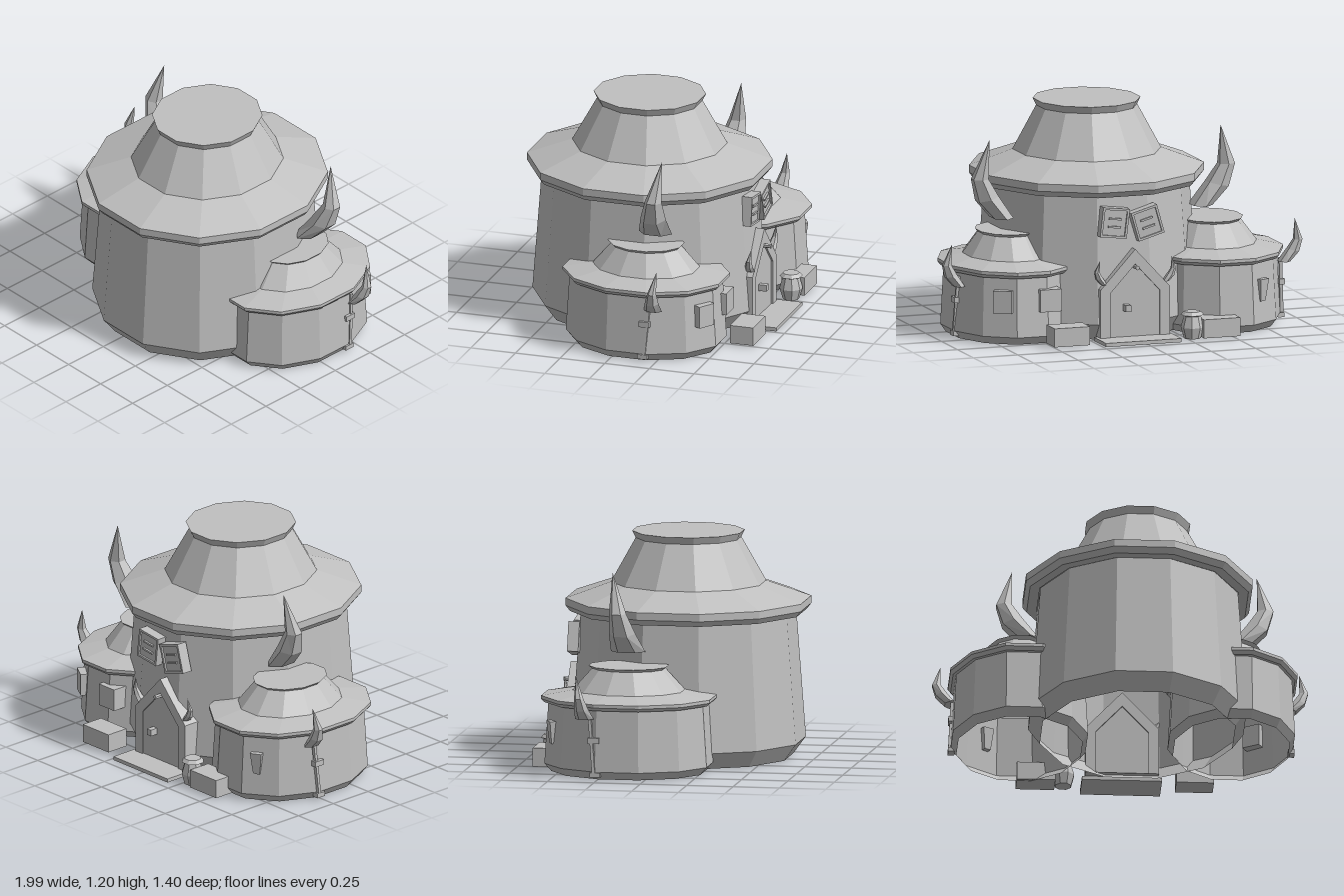
import * as THREE from 'three';

const clay = new THREE.MeshStandardMaterial({ color: 0xc0c0c0, flatShading: true, side: THREE.DoubleSide });
clay.name = 'plainGrey';

export function createModel() {
  const root = new THREE.Group();

  const add = (name, geometry, x = 0, y = 0, z = 0, parent = root) => {
    const g = geometry.index ? geometry.toNonIndexed() : geometry;
    g.computeVertexNormals();
    const mesh = new THREE.Mesh(g, clay);
    mesh.name = name;
    mesh.position.set(x, y, z);
    parent.add(mesh);
    return mesh;
  };
  const box = (name, w, h, d, x, y, z, parent) => add(name, new THREE.BoxGeometry(w, h, d), x, y, z, parent);

  // Twelve-sided hollow shell; the profile lists [apothem, height] from the ground up
  const tower = (name, profile, x, y, z, scaleX) => {
    const k = 1 / Math.cos(Math.PI / 12);
    const pts = profile.map(([r, h]) => new THREE.Vector2(r * k, h));
    const g = new THREE.LatheGeometry(pts, 12, Math.PI / 12);
    g.scale(scaleX, 1, 1);
    return add(name, g, x, y, z);
  };

  // Main tower, open underneath
  tower('mainWall', [[0.54, 0], [0.605, 0.09], [0.555, 0.775]], 0.07, 0, 0.065, 0.945);
  tower('mainRoof', [[0.555, 0.775], [0.61, 0.775], [0.633, 0.805], [0.633, 0.845], [0.4, 0.93],
    [0.272, 1.165], [0.29, 1.203], [0, 1.203]], 0.07, 0, 0.065, 0.95);

  // Side huts, open underneath
  const hutWall = [[0.385, 0], [0.42, 0.042], [0.4, 0.36]];
  const hutRoof = [[0.4, 0.36], [0.42, 0.36], [0.437, 0.378], [0.437, 0.395], [0.28, 0.425],
    [0.183, 0.54], [0.2, 0.555], [0, 0.555]];
  const grow = (p) => p.map(([r, h]) => [r * 1.04, h > 0.3 ? h + 0.01 : h]);
  tower('leftHutWall', hutWall, 0.577, 0, -0.088, 0.79);
  tower('leftHutRoof', hutRoof, 0.577, 0, -0.088, 0.79);
  tower('rightHutWall', grow(hutWall), -0.545, 0, -0.145, 0.82);
  tower('rightHutRoof', grow(hutRoof), -0.545, 0, -0.145, 0.82);

  // Horn: rings as [outerX, outerY, innerX, innerY, centreZ, halfWidthZ]
  const rings = [
    [0.56, 0.63, 0.56, 0.63, -0.158, 0],
    [0.62, 0.63, 0.5, 0.63, -0.158, 0.093],
    [0.71, 0.725, 0.585, 0.755, -0.175, 0.071],
    [0.742, 0.85, 0.645, 0.85, -0.191, 0.047],
    [0.65, 1.065, 0.65, 1.065, -0.225, 0],
  ];
  const hornGeometry = () => {
    const n = 6, pos = [], idx = [];
    for (const [ox, oy, ix, iy, z, w] of rings) {
      for (let i = 0; i < n; i++) {
        const t = (i / n + 0.25) * Math.PI * 2, c = Math.cos(t) / 2;
        pos.push((ox + ix) / 2 + (ox - ix) * c, (oy + iy) / 2 + (oy - iy) * c, z + w * Math.sin(t));
      }
    }
    for (let k = 0; k < rings.length - 1; k++) {
      for (let i = 0; i < n; i++) {
        const a = k * n + i, b = k * n + ((i + 1) % n);
        idx.push(b, a, a + n, b, a + n, b + n);
      }
    }
    const g = new THREE.BufferGeometry();
    g.setAttribute('position', new THREE.Float32BufferAttribute(pos, 3));
    g.setIndex(idx);
    return g;
  };
  const horn = (name, side, s, x, y, z) => {
    add(name, hornGeometry(), x, y, z).scale.set(side * s, s, s);
  };
  for (const side of [1, -1]) {
    horn('mainHorn', side, 1, 0.07, 0, 0);
    horn('doorHorn', side, 0.31, 0.015, 0.11, -0.485);
  }
  horn('leftHutHorn', 1, 0.54, 0.597, -0.05, -0.15);
  horn('rightHutHorn', -1, 0.54, -0.6, -0.015, -0.233);

  // Thin posts below the hut horns, with a bracket and a foot
  for (const [side, z] of [[1, -0.19], [-1, -0.27]]) {
    const post = new THREE.Group();
    post.name = 'hutPost';
    post.position.set(side * 0.9, 0, z);
    root.add(post);
    const pole = box('pole', 0.018, 0.32, 0.016, 0, 0.18, -0.01, post);
    pole.rotation.set(-0.08, 0, side * 0.05);
    box('bracket', 0.03, 0.03, 0.06, 0, 0.21, 0, post);
    box('foot', 0.035, 0.025, 0.055, 0, 0.028, 0.01, post);
  }

  // Gabled doorway on the back
  const gable = (half, eave, apex, shape) => {
    shape.moveTo(-half, 0.02);
    shape.lineTo(half, 0.02);
    shape.lineTo(half, eave);
    shape.lineTo(0, apex);
    shape.lineTo(-half, eave);
    shape.closePath();
    return shape;
  };
  const slab = (shape, depth) => new THREE.ExtrudeGeometry(shape, { depth, bevelEnabled: false });
  const frame = gable(0.195, 0.28, 0.49, new THREE.Shape());
  frame.holes.push(gable(0.14, 0.26, 0.41, new THREE.Path()));
  add('doorFrame', slab(frame, 0.1), 0.02, 0, -0.56);
  add('doorPanel', slab(gable(0.145, 0.262, 0.415, new THREE.Shape()), 0.08), 0.02, 0, -0.55);
  box('doorKnob', 0.03, 0.035, 0.045, 0.07, 0.178, -0.572);
  const peg = add('gablePeg', new THREE.CylinderGeometry(0.012, 0.012, 0.05, 6), 0.02, 0.395, -0.573);
  peg.rotation.x = Math.PI / 2;
  box('porchSlab', 0.425, 0.02, 0.19, 0.022, 0.01, -0.605);

  // Two tilted notice boards above the door
  for (const [x, y, tilt] of [[0.13, 0.635, 0.12], [-0.055, 0.625, -0.28]]) {
    const board = new THREE.Group();
    board.name = 'noticeBoard';
    board.position.set(x, y, -0.515);
    board.rotation.z = tilt;
    root.add(board);
    box('backing', 0.15, 0.16, 0.05, 0, 0, 0, board);
    for (const s of [1, -1]) {
      box('sideTrim', 0.012, 0.16, 0.016, s * 0.069, 0, -0.027, board);
      box('endTrim', 0.15, 0.012, 0.016, 0, s * 0.074, -0.027, board);
      box('slat', 0.07, 0.01, 0.012, 0, s * 0.022, -0.03, board);
    }
  }

  // Boxes on the left hut wall
  box('wallBox', 0.12, 0.12, 0.085, 0.48, 0.235, -0.482);
  box('wallBox', 0.1, 0.12, 0.08, 0.72, 0.235, -0.45).rotation.y = -0.55;

  // Tapered lamp on the right hut wall
  const lamp = add('wallLamp', new THREE.CylinderGeometry(0.045, 0.026, 0.12, 4, 1, false, Math.PI / 4), -0.7, 0.22, -0.52);
  lamp.rotation.y = 0.5;

  // Chests and barrel on the ground
  box('chest', 0.2, 0.1, 0.13, 0.412, 0.06, -0.6);
  box('chest', 0.205, 0.1, 0.13, -0.432, 0.055, -0.6);
  const barrel = [[0, 0], [0.045, 0], [0.062, 0.06], [0.045, 0.12], [0.062, 0.127], [0.045, 0.145], [0, 0.145]]
    .map(([r, y]) => new THREE.Vector2(r, y));
  add('barrel', new THREE.LatheGeometry(barrel, 8, Math.PI / 8), -0.285, 0, -0.605);

  return root;
}
